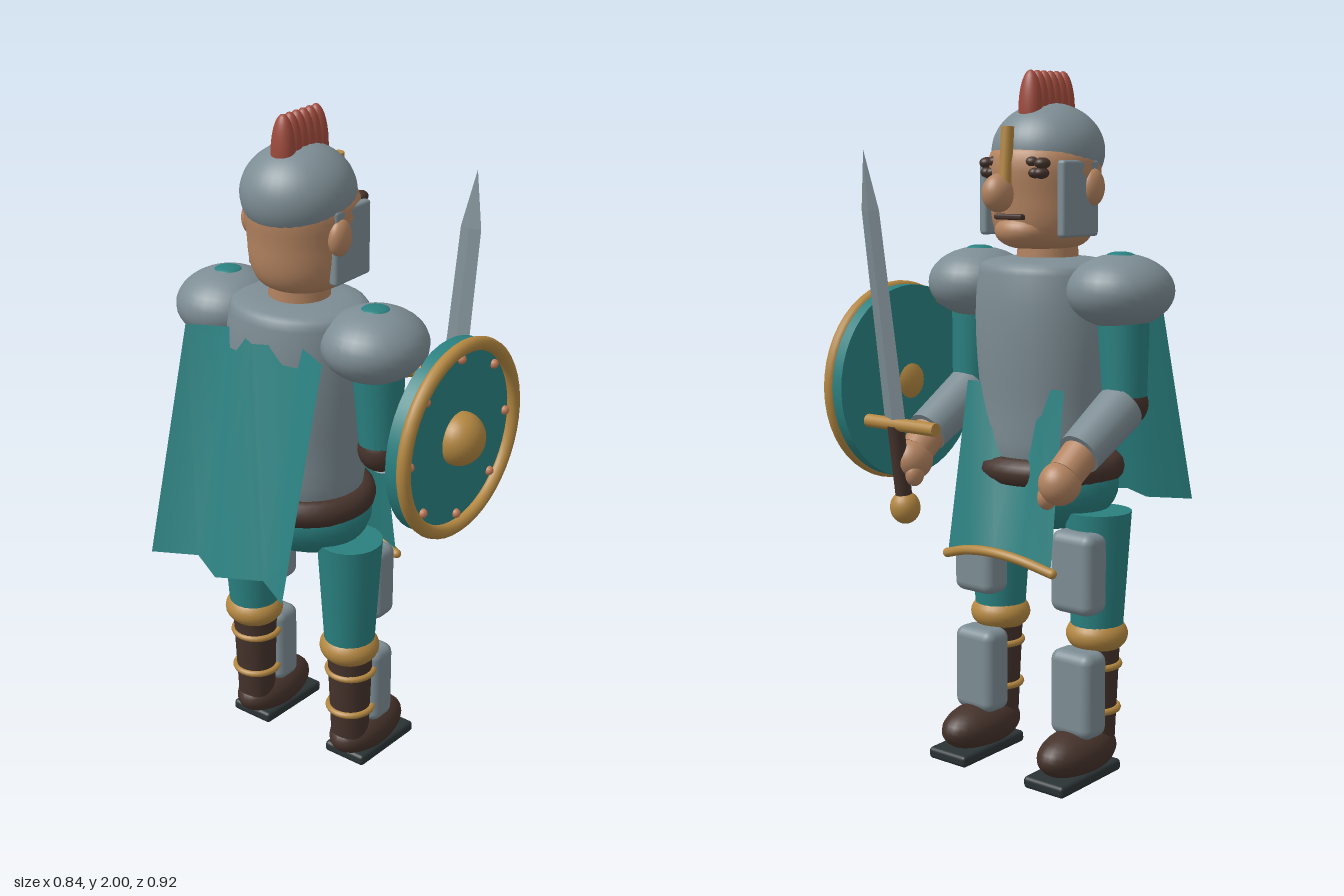
import * as THREE from 'three';
import { RoundedBoxGeometry } from 'three/addons/geometries/RoundedBoxGeometry.js';

const mat = (name, color, side = THREE.FrontSide) => {
  const m = new THREE.MeshStandardMaterial({ color, side });
  m.name = name;
  return m;
};

export function createModel() {
  const steel = mat('steel', 0x7d8d94);
  const teal = mat('tealCloth', 0x2a8080, THREE.DoubleSide);
  const gold = mat('gold', 0xb38741);
  const skin = mat('skin', 0xb38360);
  const leather = mat('brownLeather', 0x45322b);
  const red = mat('redPlume', 0x9e4a3c);
  const dark = mat('darkSole', 0x2a3234);
  const copper = mat('copper', 0xc07c58);

  const model = new THREE.Group();
  model.name = 'soldier';
  const V = (x, y, z) => new THREE.Vector3(x, y, z);
  // The figure looks along +x; its middle plane is z = MID
  const MID = -0.053;

  const add = (name, geo, material, x = 0, y = 0, z = 0, parent = model) => {
    const m = new THREE.Mesh(geo, material);
    m.name = name;
    m.position.set(x, y, z);
    parent.add(m);
    return m;
  };
  const ball = (name, material, x, y, z, rx, ry = rx, rz = rx) => {
    const m = add(name, new THREE.SphereGeometry(1, 28, 18), material, x, y, z);
    m.scale.set(rx, ry, rz);
    return m;
  };
  // Tapered limb from a to b
  const limb = (name, material, a, b, ra, rb) => {
    const d = b.clone().sub(a);
    const m = add(name, new THREE.CylinderGeometry(rb, ra, d.length(), 24), material);
    m.position.copy(a).add(b).multiplyScalar(0.5);
    m.quaternion.setFromUnitVectors(V(0, 1, 0), d.normalize());
    return m;
  };
  const block = (name, material, x, y, z, w, h, d, r) =>
    add(name, new RoundedBoxGeometry(w, h, d, 3, r), material, x, y, z);
  const lathe = (name, material, pts, x, z, sx, sz) => {
    const curve = new THREE.SplineCurve(pts.map(p => new THREE.Vector2(...p)));
    const m = add(name, new THREE.LatheGeometry(curve.getPoints(24), 32), material, x, 0, z);
    m.scale.set(sx, 1, sz);
    return m;
  };
  // Pleated cloth: each column runs from a top point to a bottom point
  const cloth = (name, tops, bottoms) => {
    const g = new THREE.PlaneGeometry(1, 1, tops.length - 1, 1);
    [...tops, ...bottoms].forEach((p, i) => g.attributes.position.setXYZ(i, ...p));
    g.computeVertexNormals();
    return add(name, g, teal);
  };

  // Legs and arms, once for each side
  for (const s of [1, -1]) {
    const z = MID + s * 0.184;
    ball('shoe', leather, 0.05, 0.087, z, 0.15, 0.07, 0.083);
    block('sole', dark, 0.07, 0.026, z, 0.27, 0.035, 0.145, 0.012).rotation.z = -0.05;
    limb('boot', leather, V(-0.032, 0.1, z), V(-0.035, 0.39, z), 0.057, 0.068);
    for (const [y, r] of [[0.33, 0.069], [0.2, 0.066]]) {
      const ring = add('bootRing', new THREE.TorusGeometry(r, 0.01, 8, 28), gold, -0.03, y, z);
      ring.rotation.x = Math.PI / 2;
    }
    block('shinGuard', steel, 0.046, 0.26, z, 0.098, 0.25, 0.148, 0.03);
    ball('knee', gold, -0.038, 0.417, z, 0.088, 0.058, 0.09);
    limb('thigh', teal, V(-0.038, 0.44, z), V(-0.04, 0.775, z), 0.075, 0.096);
    block('thighGuard', steel, 0.047, 0.612, z, 0.095, 0.235, 0.15, 0.03);

    const shoulder = MID + s * 0.26;
    const az = MID + s * 0.282;
    ball('shoulderGuard', steel, -0.035, 1.4, shoulder, 0.155, 0.103, 0.148);
    ball('shoulderStud', teal, -0.035, 1.495, shoulder, 0.041, 0.013, 0.041);
    limb('upperArm', teal, V(-0.03, 1.1, az), V(-0.035, 1.37, shoulder + s * 0.01), 0.062, 0.075);
    ball('elbow', leather, -0.03, 1.09, az, 0.066);
    limb('vambrace', steel, V(-0.01, 1.08, az), V(0.17, 0.975, az), 0.07, 0.062);
    limb('wrist', skin, V(0.13, 0.998, az), V(0.225, 0.925, az - s * 0.005), 0.054, 0.05);
    ball('hand', skin, 0.24, 0.905, az - s * 0.008, 0.062, 0.06, 0.056);
    ball('thumb', skin, 0.26, 0.868, az - s * 0.035, 0.03, 0.035, 0.025);
  }

  // Trunk
  ball('hips', teal, -0.035, 0.845, MID, 0.175, 0.145, 0.225);
  lathe('breastplate', steel, [[0, 0.86], [0.17, 0.88], [0.2, 1.08], [0.215, 1.28],
    [0.208, 1.42], [0.175, 1.475], [0, 1.49]], -0.035, MID, 0.9, 1);
  const belt = add('belt', new THREE.TorusGeometry(0.19, 0.036, 12, 36), leather, -0.038, 0.888, MID);
  belt.rotation.x = Math.PI / 2;
  belt.scale.set(0.91, 1.02, 1.1);
  limb('neck', skin, V(-0.035, 1.46, MID), V(-0.035, 1.56, MID), 0.088, 0.085);

  // Head and face
  lathe('head', skin, [[0, 1.505], [0.1, 1.515], [0.142, 1.56], [0.155, 1.65], [0.15, 1.78],
    [0, 1.85]], -0.02, MID, 1, 0.97);
  ball('chin', skin, 0.07, 1.56, MID, 0.075, 0.05, 0.085);
  ball('nose', skin, 0.155, 1.665, MID + 0.018, 0.05, 0.053, 0.042);
  block('mouth', leather, 0.128, 1.6, MID, 0.025, 0.016, 0.1, 0.006);
  for (const s of [1, -1]) {
    for (const [dy, dz] of [[0.022, 0.068], [0.018, 0.1], [-0.008, 0.078], [-0.008, 0.096]]) {
      ball('eye', leather, 0.108, 1.728 + dy, MID + s * dz, 0.024, 0.016, 0.021);
    }
    ball('ear', skin, -0.05, 1.68, MID + s * 0.15, 0.04, 0.052, 0.028);
    block('cheekGuard', steel, 0.006, 1.65, MID + s * 0.142, 0.155, 0.21, 0.028, 0.01);
  }

  // Helmet with nose guard and crest
  const dome = add('helmet', new THREE.SphereGeometry(1, 36, 22, 0, Math.PI * 2, 0, 2.2), steel, -0.037, 1.778, MID);
  dome.scale.set(0.163, 0.135, 0.157);
  dome.material = steel;
  const lid = add('helmetBase', new THREE.CircleGeometry(0.13, 32), steel, -0.037, 1.7, MID);
  lid.rotation.x = Math.PI / 2;
  limb('noseGuard', gold, V(0.148, 1.69, MID), V(0.136, 1.845, MID), 0.018, 0.018);
  for (let i = 0; i < 6; i++) {
    ball('crestTuft', red, -0.1 + i * 0.028, 1.89, MID, 0.031, 0.11, 0.036);
  }

  // Cape and front flap
  const folds = [-2, -1, 0, 1, 2];
  cloth('cape',
    folds.map(i => [i % 2 ? -0.18 : -0.243, 1.4, MID - i * 0.12]),
    folds.map(i => [i % 2 ? -0.355 : -0.42, 0.755, MID - i * 0.12]));
  cloth('frontFlap',
    folds.map(i => [[0.05, 0.105, 0.108][Math.abs(i)], 1.13, MID + i * 0.089]),
    folds.map(i => [[0.2, 0.195, 0.18][Math.abs(i)], [0.67, 0.66, 0.64][Math.abs(i)], MID + i * 0.096]));
  const hem = new THREE.CatmullRomCurve3(folds.map(i =>
    V(0.207 - 0.007 * i * i, 0.668 - 0.009 * i * i, MID + i * 0.098)));
  add('flapHem', new THREE.TubeGeometry(hem, 24, 0.014, 10), gold);
  for (const i of [-2, 2]) ball('hemEnd', gold, 0.179, 0.632, MID + i * 0.098, 0.014);

  // Round shield on the outside of one arm
  const shield = new THREE.Group();
  shield.name = 'shield';
  shield.position.set(0.122, 1.11, 0);
  model.add(shield);
  const disc = add('shieldFace', new THREE.CylinderGeometry(0.283, 0.283, 0.045, 48), teal, 0, 0, 0.36, shield);
  disc.rotation.x = Math.PI / 2;
  add('shieldRim', new THREE.TorusGeometry(0.273, 0.02, 12, 48), gold, 0, 0, 0.391, shield);
  const boss = add('shieldBoss', new THREE.SphereGeometry(0.078, 28, 18), gold, 0, 0, 0.39, shield);
  boss.scale.z = 0.9;
  for (let i = 0; i < 8; i++) {
    const a = i * Math.PI / 4;
    add('shieldRivet', new THREE.SphereGeometry(0.014, 12, 8), copper,
      Math.cos(a) * 0.237, Math.sin(a) * 0.237, 0.385, shield);
  }
  limb('shieldBrace', gold, V(-0.02, 1.32, 0.25), V(0, 1.35, 0.345), 0.018, 0.018);

  // Sword, built upright and then leaned forward
  const sword = new THREE.Group();
  sword.name = 'sword';
  sword.position.set(0.265, 0.768, 0.228);
  sword.rotation.z = -0.143;
  model.add(sword);
  add('pommel', new THREE.SphereGeometry(0.044, 20, 14), gold, 0, 0, 0, sword).scale.y = 1.1;
  add('grip', new THREE.CylinderGeometry(0.024, 0.024, 0.22, 18), leather, 0, 0.135, 0, sword);
  const guard = add('crossGuard', new THREE.CylinderGeometry(0.019, 0.019, 0.27, 18), gold, 0, 0.248, -0.023, sword);
  guard.rotation.x = Math.PI / 2;
  // Diamond-section blade: straight part, then point
  const diamond = (rTop, rBottom, h, y, name) => {
    const g = new THREE.CylinderGeometry(rTop, rBottom, h, 4).toNonIndexed();
    g.computeVertexNormals();
    add(name, g, steel, 0, y, 0, sword).scale.x = 0.28;
  };
  diamond(0.034, 0.041, 0.61, 0.555, 'blade');
  diamond(0, 0.034, 0.165, 0.9425, 'bladeTip');

  return model;
}
